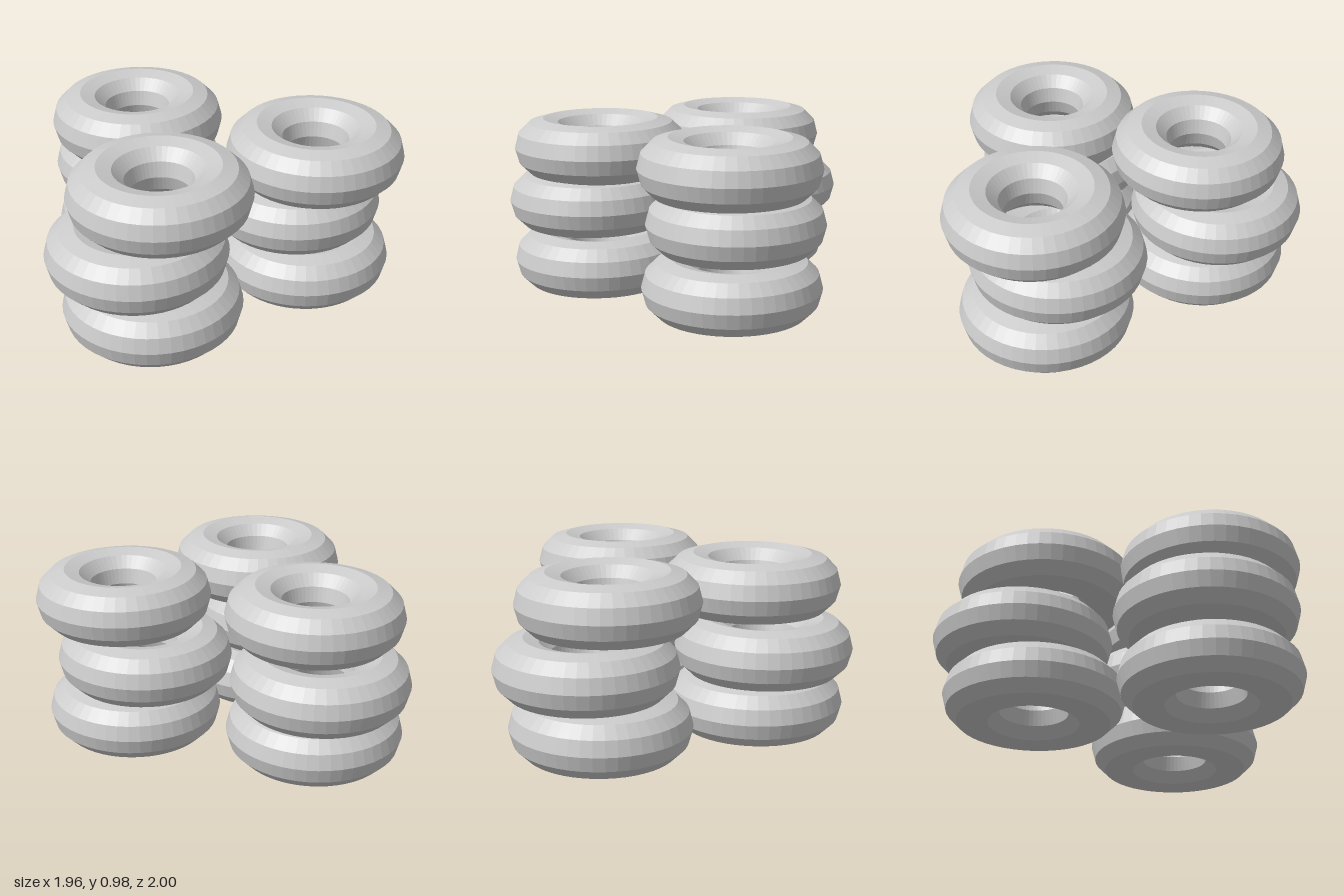
import * as THREE from 'three';

export function createModel() {
  const group = new THREE.Group();
  group.name = 'tyreStacks';
  const material = new THREE.MeshStandardMaterial({ color: 0xcccccc, flatShading: true });

  // One plump ring lying flat, shared by every tyre
  const ring = new THREE.TorusGeometry(0.321, 0.162, 12, 48);
  ring.rotateX(Math.PI / 2);

  // Centres [x, z] from bottom to top; tilt [x, z] leans the top tyre slightly
  const stacks = [
    { name: 'backStack', centres: [[-0.44, -0.435], [-0.44, -0.515], [-0.44, -0.388]], tilt: [-0.01, 0] },
    { name: 'frontStack', centres: [[-0.425, 0.515], [-0.5, 0.515], [-0.373, 0.512]], tilt: [0, 0] },
    { name: 'sideStack', centres: [[0.455, 0.1], [0.4, 0.05], [0.497, 0.135]], tilt: [0, -0.01] },
  ];
  const layers = ['bottomTyre', 'middleTyre', 'topTyre'];

  for (const { name, centres, tilt } of stacks) {
    const stack = new THREE.Group();
    stack.name = name;
    centres.forEach(([x, z], i) => {
      const tyre = new THREE.Mesh(ring, material);
      tyre.name = layers[i];
      tyre.position.set(x, 0.163 + i * 0.327, z);
      if (i === 2) tyre.rotation.set(tilt[0], 0, tilt[1]);
      stack.add(tyre);
    });
    group.add(stack);
  }
  return group;
}
